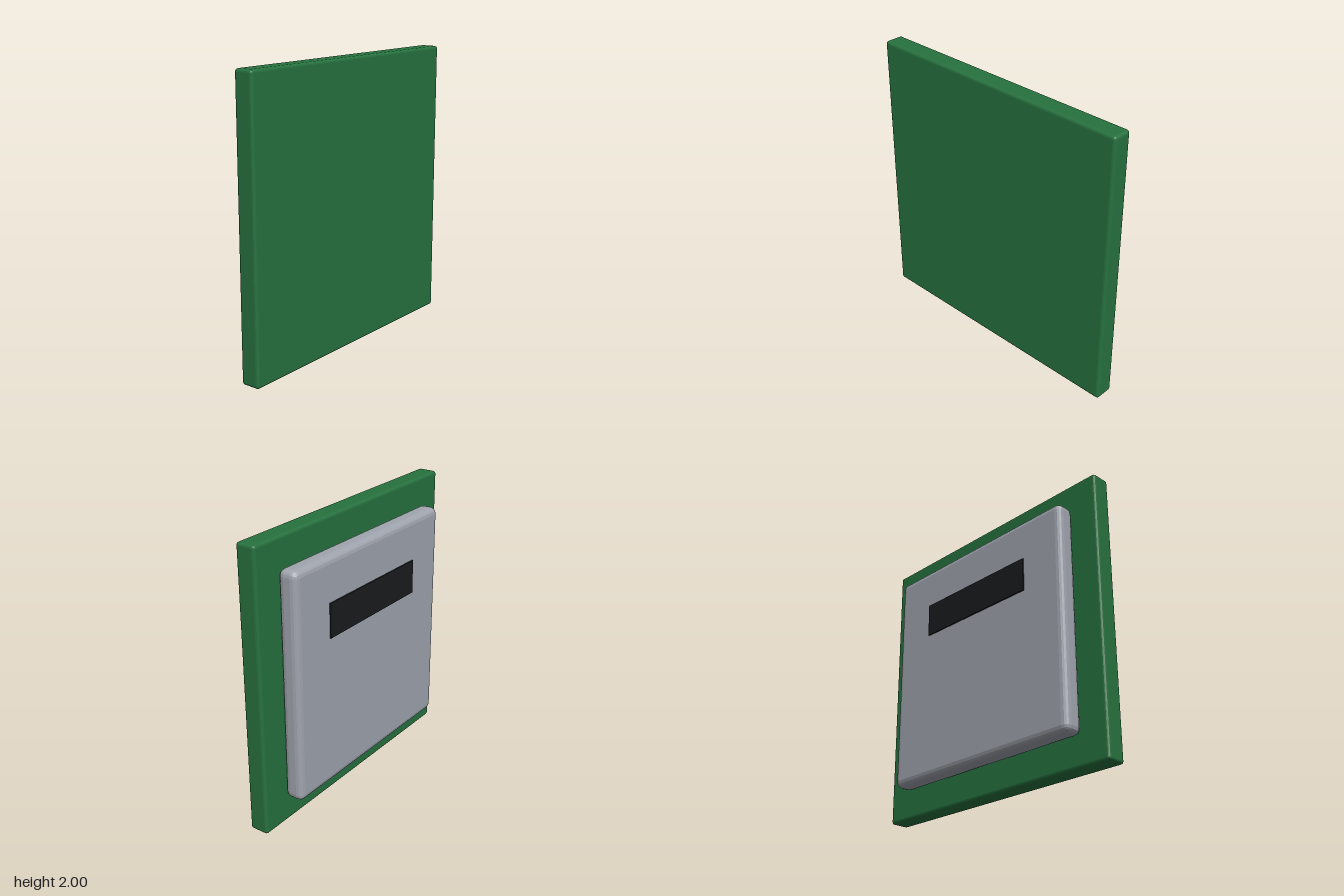
import * as THREE from 'three';
import { RoundedBoxGeometry } from 'three/addons/geometries/RoundedBoxGeometry.js';

// Bevelled slab given by its lower and upper corners
function slab(name, color, min, max, radius, segments) {
  const size = max.map((v, i) => v - min[i]);
  const geometry = radius
    ? new RoundedBoxGeometry(...size, segments, radius)
    : new THREE.BoxGeometry(...size);
  const material = new THREE.MeshStandardMaterial({ color, flatShading: true });
  const mesh = new THREE.Mesh(geometry, material);
  mesh.name = name;
  mesh.position.set(...max.map((v, i) => (v + min[i]) / 2));
  return mesh;
}

export function createModel() {
  const model = new THREE.Group();
  model.name = 'panelWithCase';

  // Square green board
  model.add(slab('board', 0x27723f, [0.005, 0, -1], [0.145, 2, 1], 0.02, 2));

  // Grey case mounted on the board's right face
  model.add(slab('case', 0xa0a4ae, [-0.135, 0.195, -0.805], [0.005, 1.805, 0.805], 0.045, 2));

  // Thin black strip on the case
  model.add(slab('strip', 0x1a1b1d, [-0.145, 1.265, -0.475], [-0.133, 1.505, 0.475]));

  return model;
}
